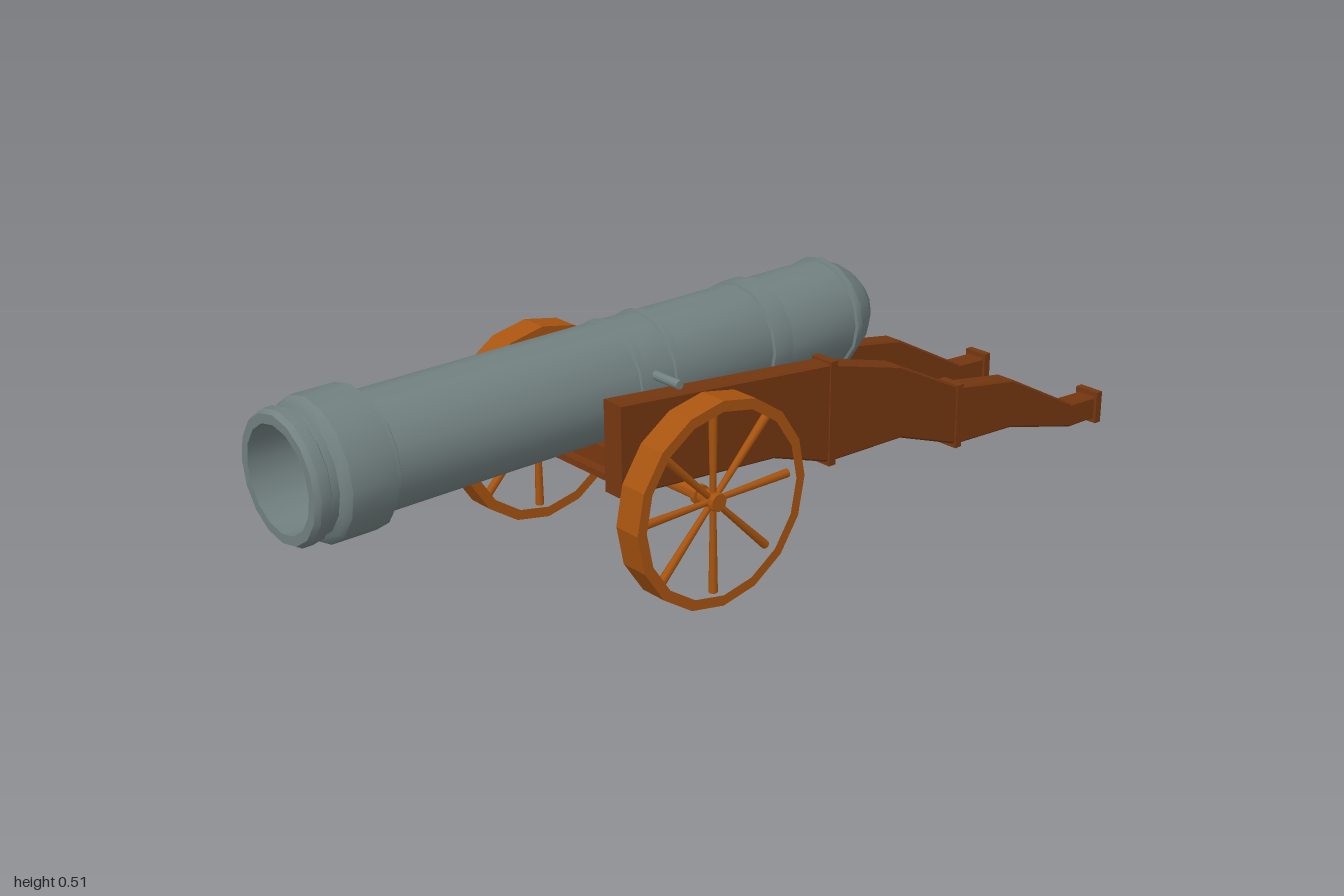
import * as THREE from 'three';
import { toCreasedNormals } from 'three/addons/utils/BufferGeometryUtils.js';

const mat = (name, color) => {
  const m = new THREE.MeshStandardMaterial({ color });
  m.name = name;
  return m;
};

export function createModel() {
  const iron = mat('iron', 0x728080);
  const darkWood = mat('darkWood', 0x753710);
  const lightWood = mat('lightWood', 0xa8540f);
  const root = new THREE.Group();
  root.name = 'cannon';

  const add = (parent, name, geo, material, x = 0, y = 0, z = 0) => {
    const m = new THREE.Mesh(geo, material);
    m.name = name;
    m.position.set(x, y, z);
    parent.add(m);
    return m;
  };
  // Lathe around z from [radius, z] pairs
  const lathe = (pts) => new THREE.LatheGeometry(pts.map(p => new THREE.Vector2(...p)), 16).rotateX(Math.PI / 2);
  // Cylinder along x
  const rod = (r, len, sides = 12) =>
    toCreasedNormals(new THREE.CylinderGeometry(r, r, len, sides).rotateZ(Math.PI / 2), 0.7);

  // Barrel: rounded breech, reinforcing rings, flared muzzle
  const barrelY = 0.381;
  const barrel = lathe([
    [0, -0.4], [0.03, -0.395], [0.055, -0.38], [0.075, -0.36], [0.095, -0.335], [0.108, -0.305], [0.113, -0.295],
    [0.118, -0.292], [0.118, -0.28], [0.112, -0.278],
    [0.112, -0.1], [0.118, -0.098], [0.118, -0.05], [0.112, -0.048],
    [0.112, 0.185], [0.117, 0.187], [0.117, 0.203], [0.112, 0.205],
    [0.112, 0.27], [0.116, 0.272], [0.116, 0.288], [0.112, 0.29],
    [0.112, 0.825], [0.12, 0.83], [0.12, 0.84], [0.134, 0.845], [0.134, 0.935], [0.126, 0.945],
    [0.116, 0.95], [0.116, 0.965], [0.124, 0.97], [0.124, 0.99], [0.118, 1], [0.1, 1],
  ]);
  add(root, 'barrel', toCreasedNormals(barrel, 0.5), iron, 0, barrelY);
  add(root, 'bore', lathe([[0.1, 1], [0.098, 0.6], [0, 0.55]]), iron, 0, barrelY);
  add(root, 'trunnions', rod(0.009, 0.35), iron, 0, 0.409, 0.25);

  // Side cheeks of the carriage, drawn as [z, y]
  const outline = [
    [0.41, 0.232], [0.41, 0.416], [-0.13, 0.36], [-0.33, 0.305], [-0.515, 0.212], [-0.69, 0.182], [-0.9, 0.07],
    [-0.985, 0.065], [-0.985, 0.012], [-0.9, 0.014], [-0.69, 0.07], [-0.515, 0.08], [-0.34, 0.143],
    [-0.13, 0.149], [0.02, 0.2],
  ];
  const cheekGeo = new THREE.ExtrudeGeometry(new THREE.Shape(outline.map(p => new THREE.Vector2(...p))), {
    depth: 0.04, bevelEnabled: true, bevelThickness: 0.004, bevelSize: 0.004, bevelOffset: -0.004, bevelSegments: 1,
  }).translate(0, 0, -0.02).rotateY(-Math.PI / 2);
  // Bands around each cheek: [z, bottom, top, length, width]
  const bands = [
    [-0.135, 0.142, 0.365, 0.018, 0.055],
    [-0.515, 0.074, 0.217, 0.018, 0.055],
    [-0.991, 0.002, 0.076, 0.018, 0.06],
  ];
  for (const s of [-1, 1]) {
    const side = new THREE.Group();
    side.name = s > 0 ? 'leftCheek' : 'rightCheek';
    root.add(side);
    add(side, 'cheek', cheekGeo, darkWood, s * 0.168);
    for (const [z, lo, hi, len, wid] of bands) {
      add(side, 'band', new THREE.BoxGeometry(wid, hi - lo, len), darkWood, s * 0.168, (lo + hi) / 2, z);
    }
  }

  // Sloping bed between the cheeks
  const bed = add(root, 'bedPlank', new THREE.BoxGeometry(0.3, 0.013, 0.25), darkWood, 0, 0.226, 0.25);
  const block = add(root, 'bedBlock', new THREE.BoxGeometry(0.186, 0.04, 0.2), darkWood, 0, 0.25, 0.25);
  bed.rotation.x = block.rotation.x = -0.078;

  // Axle with collars
  const axleY = 0.2075, axleZ = 0.252;
  add(root, 'axle', rod(0.0135, 0.57), lightWood, 0, axleY, axleZ);

  // Wheels: sixteen-sided rim and tapered spokes
  const ring = (r) => Array.from({ length: 16 }, (_, i) =>
    new THREE.Vector2(r * Math.sin(i * Math.PI / 8), r * Math.cos(i * Math.PI / 8)));
  const rimShape = new THREE.Shape(ring(0.2075));
  rimShape.holes.push(new THREE.Path(ring(0.186)));
  const rimGeo = new THREE.ExtrudeGeometry(rimShape, { depth: 0.06, bevelEnabled: false })
    .translate(0, 0, -0.03).rotateY(Math.PI / 2);
  const spokeGeo = new THREE.CylinderGeometry(0.009, 0.006, 0.18, 8).translate(0, 0.1, 0);
  for (const s of [-1, 1]) {
    const wheel = new THREE.Group();
    wheel.name = s > 0 ? 'leftWheel' : 'rightWheel';
    wheel.position.set(s * 0.269, axleY, axleZ);
    root.add(wheel);
    add(wheel, 'rim', rimGeo, lightWood);
    add(wheel, 'hub', rod(0.018, 0.035), lightWood);
    add(wheel, 'collar', rod(0.02, 0.012), lightWood, -s * 0.037);
    for (let i = 0; i < 8; i++) {
      add(wheel, 'spoke', spokeGeo, lightWood).rotation.x = i * Math.PI / 4;
    }
  }
  return root;
}
